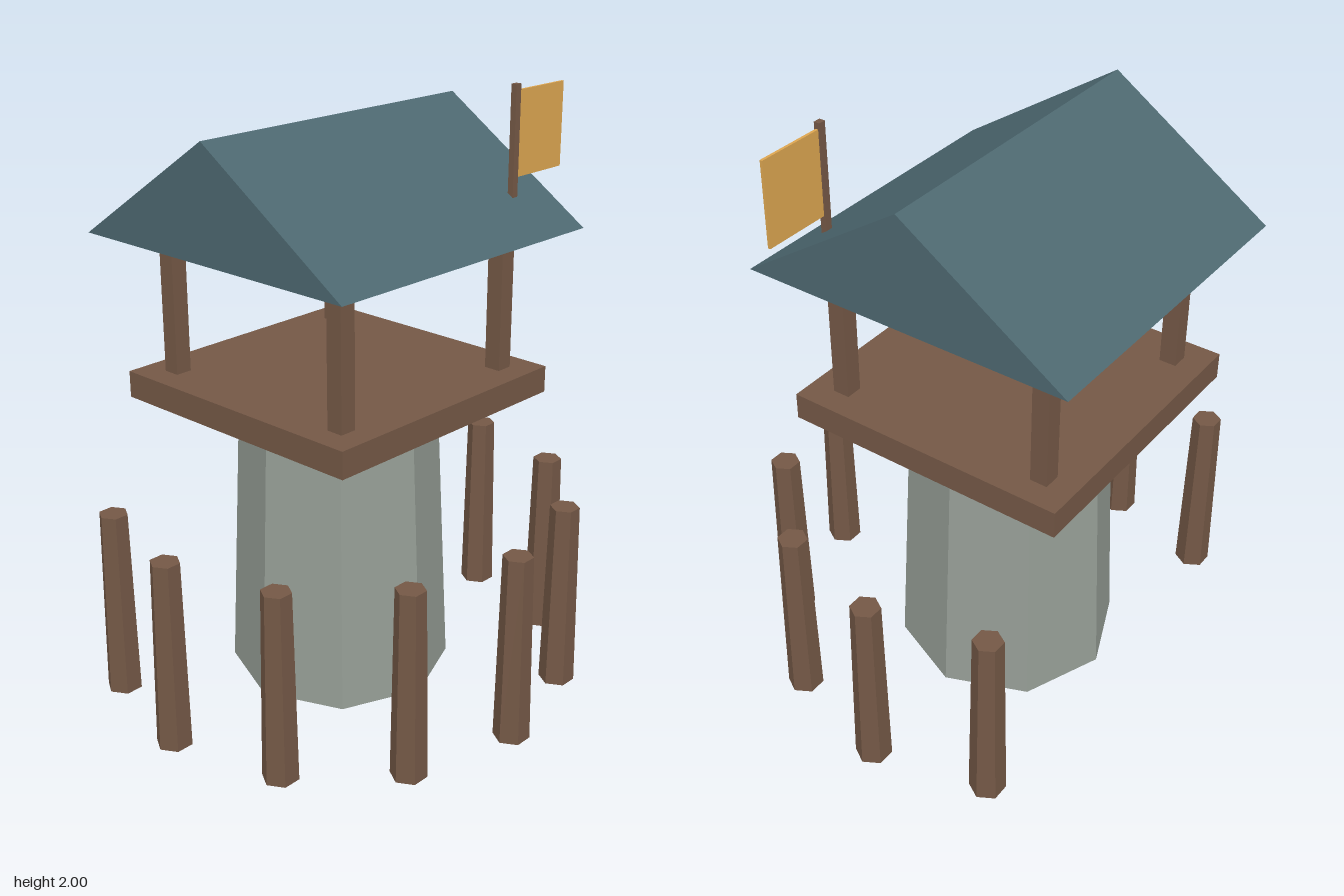
import * as THREE from 'three';

const mat = (color) => new THREE.MeshStandardMaterial({ color, flatShading: true });

export function createModel() {
  const model = new THREE.Group();
  model.name = 'watchtower';
  const wood = mat(0x745846), stone = mat(0x959d95), slate = mat(0x4d6870), cloth = mat(0xdca550);
  const cx = -0.13; // tower axis; the open side of the palisade faces -x

  const add = (name, geometry, material, x, y, z) => {
    const mesh = new THREE.Mesh(geometry, material);
    mesh.name = name;
    mesh.position.set(x, y, z);
    model.add(mesh);
    return mesh;
  };

  // Tapered octagonal stone base and wooden deck
  add('towerBase', new THREE.CylinderGeometry(0.33, 0.375, 0.98, 8), stone, cx, 0.49, 0);
  add('deck', new THREE.BoxGeometry(0.97, 0.09, 0.97), wood, cx, 1.025, 0);

  // Four posts carrying the roof
  const postGeo = new THREE.BoxGeometry(0.058, 0.47, 0.058);
  for (const sx of [-1, 1])
    for (const sz of [-1, 1])
      add('roofPost', postGeo, wood, cx + sx * 0.372, 1.305, sz * 0.372);

  // Solid gabled roof, ridge along z
  const gable = new THREE.Shape([
    new THREE.Vector2(-0.557, 0),
    new THREE.Vector2(0.557, 0),
    new THREE.Vector2(0, 0.37),
  ]);
  const roofGeo = new THREE.ExtrudeGeometry(gable, { depth: 1.114, bevelEnabled: false });
  roofGeo.translate(0, 0, -0.557);
  add('roof', roofGeo, slate, cx, 1.54, 0);

  // Flag flying towards the back
  add('flagPole', new THREE.BoxGeometry(0.02, 0.36, 0.024), wood, 0.262, 1.82, -0.394);
  add('flag', new THREE.BoxGeometry(0.009, 0.275, 0.229), cloth, 0.262, 1.8425, -0.5205);

  // Palisade: nine hexagonal stakes every 30 degrees
  const stakeGeo = new THREE.CylinderGeometry(0.049, 0.06, 0.65, 6);
  for (let i = -4; i <= 4; i++) {
    const a = (i * Math.PI) / 6;
    add('palisadeStake', stakeGeo, wood, cx + 0.766 * Math.cos(a), 0.325, 0.766 * Math.sin(a));
  }
  return model;
}
